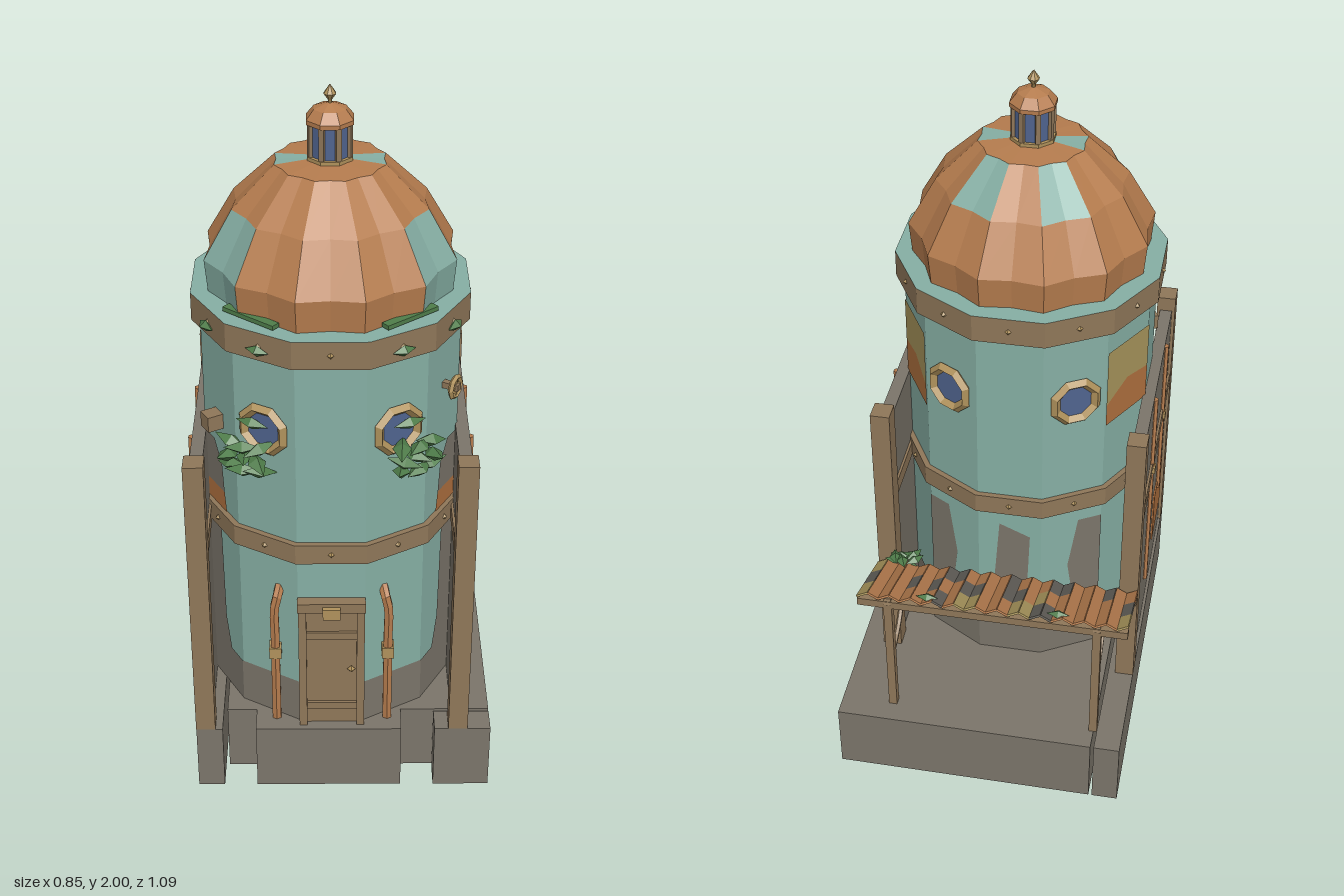
import * as THREE from 'three';

const mat = (name, color) => {
  const m = new THREE.MeshStandardMaterial({ color });
  m.name = name;
  return m;
};
const teal = mat('teal plaster', 0x86afa4), stone = mat('grey stone', 0x7b756a), wood = mat('weathered wood', 0x8f7759),
  copper = mat('copper', 0xb57c4e), rust = mat('rust', 0xb0713f), ochre = mat('ochre', 0xa8955c),
  brass = mat('brass', 0xb0925c), glass = mat('blue glass', 0x50648f), leafGreen = mat('leaf green', 0x4f7d4a),
  slate = mat('slate patch', 0x625f59);
[rust, ochre, slate].forEach(m => { m.side = THREE.DoubleSide; });

const STEP = Math.PI / 6, APO = 0.347;

// Faceted mesh added to a parent
function add(parent, name, geo, material, x = 0, y = 0, z = 0) {
  const g = geo.index ? geo.toNonIndexed() : geo;
  g.computeVertexNormals();
  const m = new THREE.Mesh(g, material);
  m.name = name;
  m.position.set(x, y, z);
  parent.add(m);
  return m;
}
const box = (w, h, d) => new THREE.BoxGeometry(w, h, d);
function span(parent, name, material, x0, x1, y0, y1, z0, z1) {
  return add(parent, name, box(x1 - x0, y1 - y0, z1 - z0), material, (x0 + x1) / 2, (y0 + y1) / 2, (z0 + z1) / 2);
}
// Twelve-sided drum with a flat side to the front; a is the apothem
function drum(a, y0, y1, open = false) {
  const r = a / Math.cos(STEP / 2);
  return new THREE.CylinderGeometry(r, r, y1 - y0, 12, 1, open, STEP / 2).translate(0, (y0 + y1) / 2, 0);
}
// Group lying on wall facet k, local z pointing outward
function facet(parent, k, name, d = APO) {
  const g = new THREE.Group();
  g.name = name;
  g.rotation.y = k * STEP;
  g.position.set(Math.sin(k * STEP) * d, 0, Math.cos(k * STEP) * d);
  parent.add(g);
  return g;
}
// Flat painted patch on a facet, outline as [u, y] points
function patch(parent, k, name, material, pts) {
  const s = new THREE.Shape(pts.map(p => new THREE.Vector2(p[0], p[1])));
  add(facet(parent, k, name + 'Group', APO + 0.003), name, new THREE.ShapeGeometry(s), material);
}
function leaf(parent, x, y, z, sx, sy, sz, ry = 0, rz = 0) {
  const m = add(parent, 'leaf', new THREE.OctahedronGeometry(1), leafGreen, x, y, z);
  m.scale.set(sx, sy, sz);
  m.rotation.set(0, ry, rz);
}

// Ribbed dome cells: three bands and a cap, 24 columns, picked by colour
function domeGeometry(pick) {
  const rings = [[0.335, 1.46], [0.343, 1.55], [0.265, 1.685], [0.15, 1.797], [0.02, 1.805]];
  const at = (i, j) => {
    const r = rings[i][0] * (j % 2 ? 1 : 0.935), t = j * STEP / 2;
    return [Math.sin(t) * r, rings[i][1], Math.cos(t) * r];
  };
  const p = [];
  for (let i = 0; i < 4; i++) for (let j = 0; j < 24; j++) {
    if (!pick(i, Math.floor((j + 1) / 2) % 12)) continue;
    const a = at(i, j), b = at(i, j + 1), c = at(i + 1, j + 1), d = at(i + 1, j);
    p.push(...a, ...b, ...c, ...a, ...c, ...d);
  }
  const g = new THREE.BufferGeometry();
  g.setAttribute('position', new THREE.Float32BufferAttribute(p, 3));
  return g;
}

function buildBase(root) {
  const b = new THREE.Group();
  b.name = 'base';
  root.add(b);
  span(b, 'mainSlab', stone, -0.335, 0.42, 0, 0.21, -0.545, 0.46);
  span(b, 'sideSlab', stone, -0.42, -0.345, 0, 0.21, -0.545, 0.545);
  span(b, 'frontStep', stone, -0.25, 0.165, 0, 0.21, 0.46, 0.545);
  span(b, 'cornerSlab', stone, 0.26, 0.42, 0, 0.21, 0.47, 0.545);
}

function buildTower(t) {
  add(t, 'towerWall', drum(APO, 0.21, 1.4), teal);
  add(t, 'stoneSkirt', drum(APO + 0.003, 0.21, 0.35, true), stone);
  add(t, 'middleBand', drum(0.363, 0.77, 0.83), wood);
  add(t, 'cornice', drum(0.37, 1.38, 1.46), [wood, teal, wood]);
  for (let k = 0; k < 12; k++) {
    const f = facet(t, k, 'rivets', 0.37);
    add(f, 'corniceRivet', new THREE.OctahedronGeometry(0.009), brass, 0, 1.42, 0);
    add(f, 'bandRivet', new THREE.OctahedronGeometry(0.009), brass, 0, 0.8, -0.007);
  }
  // Worn plaster
  const w = 0.092;
  for (const s of [-1, 1]) {
    const shape = pts => (s > 0 ? pts : pts.map(p => [-p[0], p[1]]).reverse());
    patch(t, 2 * s, 'wornPlaster', stone, shape([[-0.03, 0.34], [w, 0.34], [w, 0.77], [0.01, 0.77], [0.0, 0.45]]));
    patch(t, 2 * s, 'wornPlasterTop', stone, shape([[-0.02, 0.89], [w, 0.89], [w, 1.04], [0.03, 1.04], [-0.01, 0.98]]));
    patch(t, 2 * s, 'rustStain', rust, shape([[-0.03, 0.83], [w, 0.83], [w, 0.89], [-0.02, 0.89]]));
    patch(t, 4 * s, 'ochrePatch', ochre, shape([[-w, 1.16], [0, 1.17], [w, 1.12], [w, 1.3], [-w, 1.3]]));
    patch(t, 4 * s, 'rustPatch', rust, shape([[-w, 1.05], [w, 1.05], [w, 1.12], [0, 1.17], [-w, 1.16]]));
    patch(t, 5 * s, 'wornPlasterBack', stone, shape([[-w, 0.34], [-0.02, 0.34], [0.01, 0.55], [-0.02, 0.72], [-w, 0.72]]));
  }
  patch(t, 6, 'wornPlasterBack', stone, [[-0.05, 0.45], [0.05, 0.42], [0.06, 0.68], [-0.03, 0.72]]);
  // Round windows
  for (const k of [-1, 1, -5, 5]) {
    const f = facet(t, k, 'window');
    add(f, 'windowFrame', new THREE.TorusGeometry(0.064, 0.015, 4, 8).rotateZ(Math.PI / 8), brass, 0, 1.165, 0.008);
    add(f, 'windowGlass', new THREE.CircleGeometry(0.064, 8).rotateZ(Math.PI / 8), glass, 0, 1.165, 0.008);
  }
  // Valve wheel and wall bracket
  const v = facet(t, 2, 'valveWheel');
  add(v, 'wheelRim', new THREE.TorusGeometry(0.029, 0.008, 4, 8), brass, 0, 1.225, 0.035);
  add(v, 'wheelStem', box(0.018, 0.018, 0.05), wood, 0, 1.225, 0.022);
  for (let i = 0; i < 2; i++) add(v, 'wheelSpoke', box(0.055, 0.008, 0.008), brass, 0, 1.225, 0.035).rotation.z = i * Math.PI / 2;
  add(facet(t, -2, 'bracket'), 'bracketBlock', box(0.045, 0.045, 0.05), wood, 0, 1.12, 0.02);
}

function buildDome(t) {
  const isTeal = (i, k) => (i < 2 && (k === 2 || k === 10)) || (i === 2 && (k === 5 || k === 7)) || (i === 3 && (k === 3 || k === 9));
  add(t, 'domeCopper', domeGeometry((i, k) => !isTeal(i, k)), copper);
  add(t, 'domeBarePanels', domeGeometry(isTeal), teal);
  const lathe = pts => new THREE.LatheGeometry(pts.map(p => new THREE.Vector2(p[0], p[1])), 8, Math.PI / 8);
  add(t, 'lanternGlass', new THREE.CylinderGeometry(0.054, 0.054, 0.11, 8, 1, false, Math.PI / 8), glass, 0, 1.855, 0);
  add(t, 'lanternSill', new THREE.CylinderGeometry(0.064, 0.064, 0.012, 8, 1, false, Math.PI / 8), brass, 0, 1.806, 0);
  for (let i = 0; i < 8; i++) {
    const a = (i + 0.5) * Math.PI / 4;
    add(t, 'lanternPost', box(0.014, 0.1, 0.014), wood, Math.sin(a) * 0.054, 1.855, Math.cos(a) * 0.054).rotation.y = a;
  }
  add(t, 'lanternCap', lathe([[0.001, 1.9], [0.066, 1.9], [0.066, 1.912], [0.045, 1.938], [0.001, 1.953]]), copper);
  add(t, 'finial', lathe([[0.005, 1.94], [0.006, 1.96], [0.017, 1.976], [0.001, 2.0]]), brass);
}

function buildDoor(t) {
  const f = facet(t, 0, 'door');
  span(f, 'doorLeaf', wood, -0.07, 0.07, 0.21, 0.615, 0, 0.012);
  for (const s of [-1, 1]) add(f, 'doorJamb', box(0.022, 0.41, 0.03), wood, s * 0.081, 0.415, 0.012);
  span(f, 'lintel', wood, -0.094, 0.094, 0.615, 0.645, 0, 0.032);
  span(f, 'lintelOrnament', brass, -0.024, 0.024, 0.6, 0.635, 0.02, 0.045);
  for (const y of [0.275, 0.525]) span(f, 'doorStrap', wood, -0.07, 0.07, y - 0.012, y + 0.012, 0.01, 0.02);
  add(f, 'doorKnob', new THREE.OctahedronGeometry(0.012), brass, 0.055, 0.41, 0.02);
  // Drain pipes beside the door
  for (const s of [-1, 1]) {
    const pts = [[0.158, 0.21, 0.335], [0.158, 0.5, 0.335], [0.158, 0.6, 0.335], [0.148, 0.645, 0.33], [0.143, 0.66, 0.31]];
    const path = new THREE.CatmullRomCurve3(pts.map(p => new THREE.Vector3(p[0] * s, p[1], p[2])));
    add(t, 'drainPipe', new THREE.TubeGeometry(path, 14, 0.014, 6), copper);
    add(t, 'pipeClamp', box(0.034, 0.035, 0.04), brass, s * 0.158, 0.45, 0.33);
  }
}

function buildSideWalls(t) {
  for (const s of [-1, 1]) {
    const g = new THREE.Group();
    g.name = s > 0 ? 'leftWall' : 'rightWall';
    t.add(g);
    const x = s * 0.36;
    add(g, 'wallPanel', box(0.036, 0.845, 0.68), stone, x, 0.6325, 0);
    add(g, 'wallBeam', box(0.05, 0.045, 0.68), wood, x, 0.7925, 0);
    for (const z of [-0.362, 0.362]) add(g, 'wallPost', box(0.055, 0.89, 0.06), wood, x, 0.655, z);
    for (const [z, y0] of [[0.157, 0.5], [-0.108, 0.35]]) {
      add(g, 'wallPipe', new THREE.CylinderGeometry(0.01, 0.01, 1.05 - y0, 6), copper, s * 0.38, (1.05 + y0) / 2, z);
      add(g, 'pipeBracket', box(0.014, 0.02, 0.026), brass, s * 0.386, 0.7925, z);
    }
    add(g, 'rustPlate', box(0.006, 0.175, 0.205), rust, s * 0.38, 0.4375, 0.172);
  }
}

function buildAwning(root) {
  const a = new THREE.Group();
  a.name = 'awning';
  root.add(a);
  const sheet = new THREE.Group();
  sheet.name = 'corrugatedRoof';
  sheet.position.set(-0.033, 0.603, -0.365);
  sheet.rotation.x = 0.358;
  a.add(sheet);
  // One row per third of the slope, outer edge first: s slate, o ochre
  const rows = ['o......ssoo...oo.s......o', 's.......o.ss..ss..s.s...s', '..s...ss...s....ss......o'];
  const n = 25, w = 0.775 / n;
  rows.forEach((row, r) => {
    for (let i = 0; i < n; i++) {
      const m = { s: slate, o: ochre }[row[i]] || copper;
      add(sheet, 'roofStrip', box(w * 1.1, 0.006, 0.0853), m, (i + 0.5) * w - 0.3875, 0, (r - 1) * 0.0853)
        .rotation.z = i % 2 ? 0.42 : -0.42;
    }
  });
  span(a, 'outerBeam', wood, -0.42, 0.355, 0.605, 0.63, -0.483, -0.458);
  span(a, 'innerBeam', wood, -0.42, 0.355, 0.53, 0.55, -0.27, -0.245);
  for (const x of [-0.333, 0.267]) {
    span(a, 'awningPost', wood, x - 0.012, x + 0.012, 0.21, 0.62, -0.483, -0.458);
    const arc = new THREE.QuadraticBezierCurve3(new THREE.Vector3(x, 0.4, -0.465),
      new THREE.Vector3(x, 0.42, -0.34), new THREE.Vector3(x, 0.565, -0.28));
    add(a, 'curvedBrace', new THREE.TubeGeometry(arc, 8, 0.008, 5), wood);
    const rafter = add(a, 'rafter', box(0.02, 0.02, 0.25), wood, x, 0.585, -0.365);
    rafter.rotation.x = 0.358;
  }
}

function buildIvy(root, t) {
  for (const s of [-1, 1]) {
    // Clumps hanging below the front windows
    const f = facet(t, s, 'windowIvy');
    for (let i = 0; i < 9; i++) {
      const u = s * (0.085 - (i % 3) * 0.045), y = 1.12 - Math.floor(i / 3) * 0.035;
      leaf(f, u, y, 0.035 + (i % 2) * 0.015, 0.05, 0.02, 0.025, i * 0.5, (i % 3 - 1) * 0.25);
    }
    leaf(f, s * 0.02, 1.19, 0.03, 0.05, 0.018, 0.02);
    // Leaves and a trailing stem on the cornice
    const c = facet(t, s * 1.3, 'corniceIvy', 0.335);
    add(c, 'trailingStem', box(0.17, 0.012, 0.025), leafGreen, 0, 1.47, -0.01);
    for (const k of [1, 2]) leaf(facet(t, s * k, 'corniceLeaf', 0.375), 0, 1.41, 0, 0.035, 0.016, 0.018);
  }
  // Vine over the awning
  const v = new THREE.Group();
  v.name = 'awningIvy';
  root.add(v);
  for (let i = 0; i < 7; i++) leaf(v, 0.265 + Math.cos(i * 2.4) * 0.03, 0.595 + (i % 3) * 0.012, -0.27 + Math.sin(i * 2.4) * 0.025, 0.032, 0.014, 0.018, i);
  for (let i = 0; i < 7; i++) leaf(v, 0.25 + (i % 2) * 0.02, 0.56 - i * 0.028, -0.25 - (i % 2) * 0.015, 0.014, 0.018, 0.012, i);
  for (const x of [-0.22, 0.155]) leaf(v, x, 0.65, -0.463, 0.032, 0.012, 0.016);
}

export function createModel() {
  const root = new THREE.Group();
  root.name = 'domedTower';
  const tower = new THREE.Group();
  tower.name = 'tower';
  tower.position.set(-0.033, 0, 0.153);
  root.add(tower);
  buildBase(root);
  buildTower(tower);
  buildDome(tower);
  buildDoor(tower);
  buildSideWalls(tower);
  buildAwning(root);
  buildIvy(root, tower);
  return root;
}
